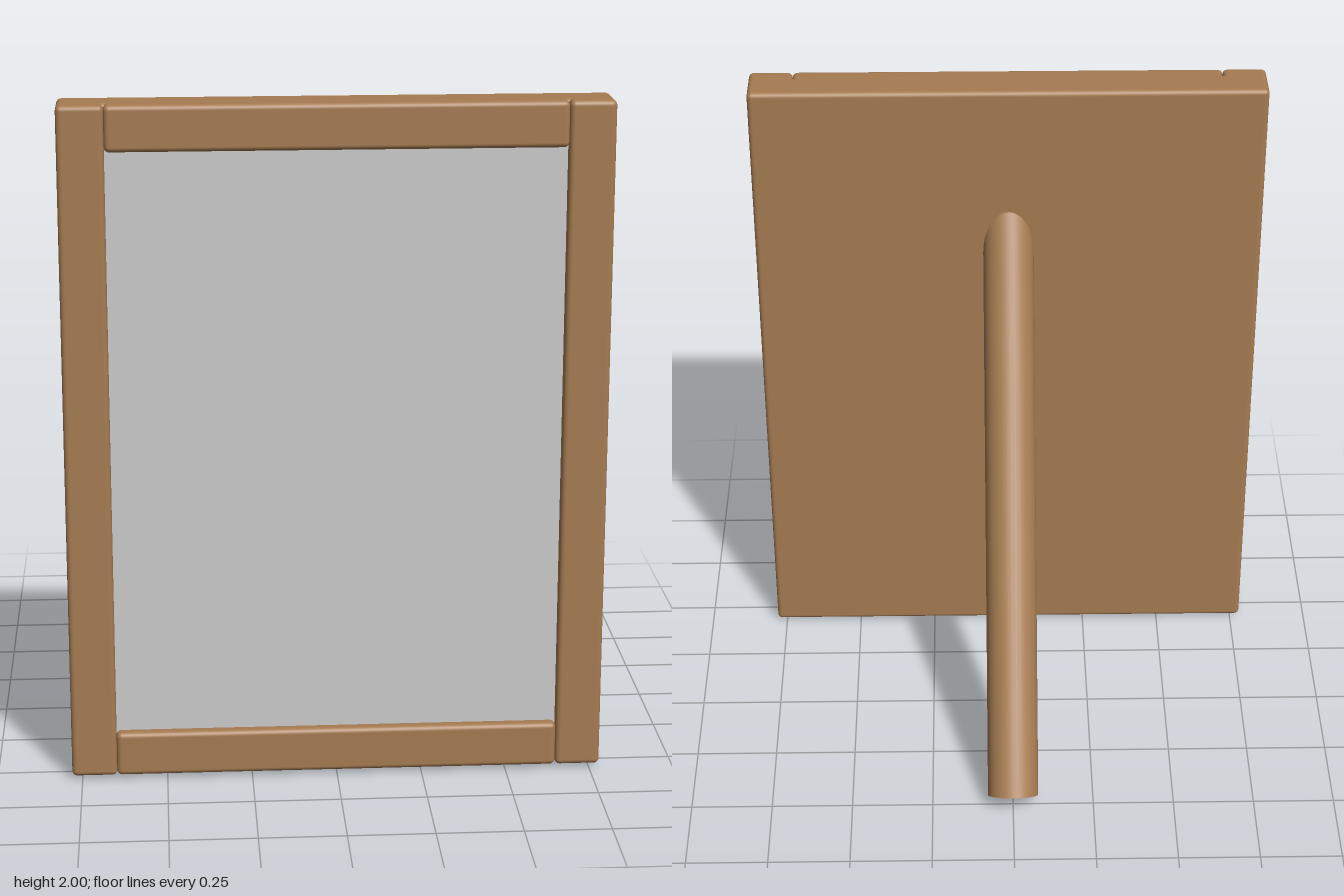
import * as THREE from 'three';
import { RoundedBoxGeometry } from 'three/addons/geometries/RoundedBoxGeometry.js';

export function createModel() {
  const model = new THREE.Group();
  model.name = 'standingFrame';

  const wood = new THREE.MeshStandardMaterial({ color: 0xa67c52 });
  wood.name = 'wood';
  const pane = new THREE.MeshStandardMaterial({ color: 0xcccccc });
  pane.name = 'paleGrey';

  const bottom = 0.012, top = 2, halfWidth = 0.78, bar = 0.132;
  const back = 0.42, front = 0.57, barBack = 0.505, boardFront = 0.53;
  const midY = (bottom + top) / 2, height = top - bottom;

  function add(name, geometry, material, x = 0, y = 0, z = 0) {
    const mesh = new THREE.Mesh(geometry, material);
    mesh.name = name;
    mesh.position.set(x, y, z);
    model.add(mesh);
    return mesh;
  }
  const rounded = (w, h, d) => new RoundedBoxGeometry(w, h, d, 4, 0.015);

  // Backing board
  add('backBoard', rounded(halfWidth * 2, height, boardFront - back), wood,
    0, midY, (back + boardFront) / 2);

  // Two full-height stiles with two rails between them
  const depth = front - barBack, barZ = (front + barBack) / 2;
  const railLength = (halfWidth - bar) * 2;
  for (const side of [-1, 1]) {
    add(side > 0 ? 'leftStile' : 'rightStile', rounded(bar, height, depth), wood,
      side * (halfWidth - bar / 2), midY, barZ);
    add(side > 0 ? 'topRail' : 'bottomRail', rounded(railLength, bar, depth), wood,
      0, midY + side * (height - bar) / 2, barZ);
  }

  // Thin pane set behind the face of the bars
  add('pane', new THREE.BoxGeometry(railLength + 0.02, height - bar * 2 + 0.02, 0.008), pane,
    0, midY, boardFront + 0.004);

  // Round leg leaning into the back; its upper end is cut parallel to the board
  const foot = new THREE.Vector3(0, 0.043, -0.505);
  const dir = new THREE.Vector3(0, 0.836, 0.55).normalize();
  const length = 1.74;
  const leg = new THREE.CylinderGeometry(0.078, 0.078, length, 40);
  leg.translate(0, length / 2, 0);
  leg.applyQuaternion(new THREE.Quaternion().setFromUnitVectors(new THREE.Vector3(0, 1, 0), dir));
  leg.translate(foot.x, foot.y, foot.z);
  const p = leg.attributes.position, v = new THREE.Vector3();
  for (let i = 0; i < p.count; i++) {
    v.fromBufferAttribute(p, i);
    if (v.y > 1) {
      v.addScaledVector(dir, (back + 0.03 - v.z) / dir.z);
      p.setXYZ(i, v.x, v.y, v.z);
    }
  }
  add('supportLeg', leg, wood);

  return model;
}
